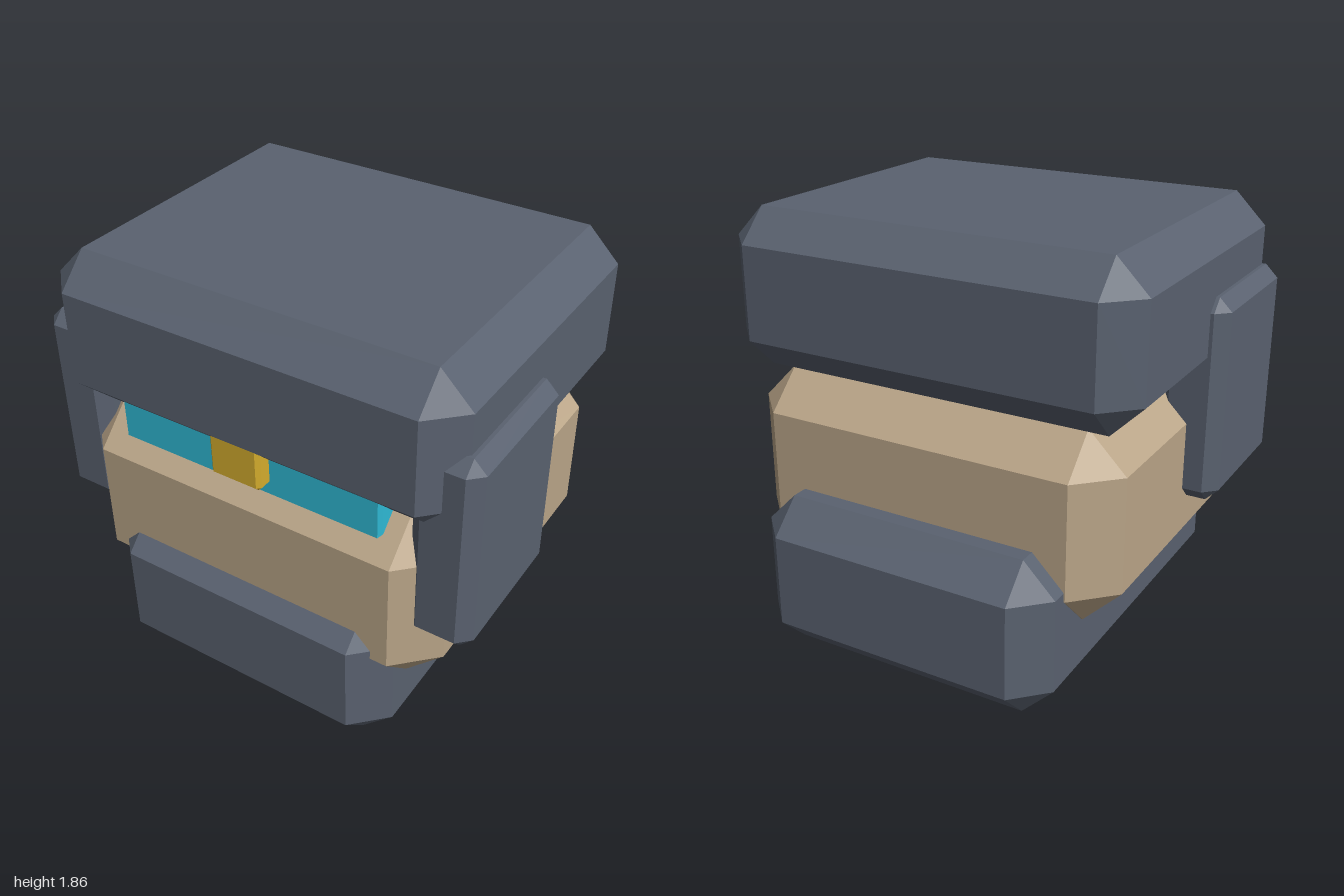
import * as THREE from 'three';
import { ConvexGeometry } from 'three/addons/geometries/ConvexGeometry.js';

function makeMaterial(name, color) {
  const m = new THREE.MeshStandardMaterial({ color });
  m.name = name;
  return m;
}

// Box with 45 degree chamfers of size c on every edge, given by its extents
function chamferBox(name, material, [x0, x1], [y0, y1], [z0, z1], c) {
  const half = new THREE.Vector3(x1 - x0, y1 - y0, z1 - z0).multiplyScalar(0.5);
  const points = [];
  for (const sx of [-1, 1]) for (const sy of [-1, 1]) for (const sz of [-1, 1]) {
    for (const axis of ['x', 'y', 'z']) {
      // each corner becomes a small triangle: one axis keeps its full reach
      const p = half.clone().subScalar(c);
      p[axis] += c;
      points.push(p.multiply(new THREE.Vector3(sx, sy, sz)));
    }
  }
  const mesh = new THREE.Mesh(new ConvexGeometry(points), material);
  mesh.name = name;
  mesh.position.set((x0 + x1) / 2, (y0 + y1) / 2, (z0 + z1) / 2);
  return mesh;
}

export function createModel() {
  const slate = makeMaterial('slate armour', 0x5a6270);
  const tan = makeMaterial('tan body', 0xbba689);
  const cyan = makeMaterial('cyan visor', 0x30bcd8);
  const gold = makeMaterial('gold crest', 0xd6ae2e);

  const group = new THREE.Group();
  group.name = 'helmetedBust';

  // Stacked main blocks
  group.add(
    chamferBox('base', slate, [-0.69, 0.69], [0, 0.69], [-0.9, 0.9], 0.14),
    chamferBox('face', tan, [-0.86, 0.86], [0.345, 1.175], [-0.69, 0.83], 0.165),
    chamferBox('helmet', slate, [-0.93, 0.93], [1.175, 1.86], [-0.69, 0.83], 0.138),
  );

  // Visor strip and crest, sunk between face and helmet
  group.add(
    chamferBox('visor', cyan, [-0.62, 0.62], [1.05, 1.32], [0.55, 0.762], 0.016),
    chamferBox('crest', gold, [-0.118, 0.118], [1.125, 1.335], [0.6, 0.829], 0.016),
  );

  // Ear guards on both sides
  for (const [name, x] of [['leftEarGuard', [0.72, 1]], ['rightEarGuard', [-1, -0.72]]]) {
    group.add(chamferBox(name, slate, x, [0.66, 1.552], [0.07, 0.76], 0.055));
  }
  return group;
}
